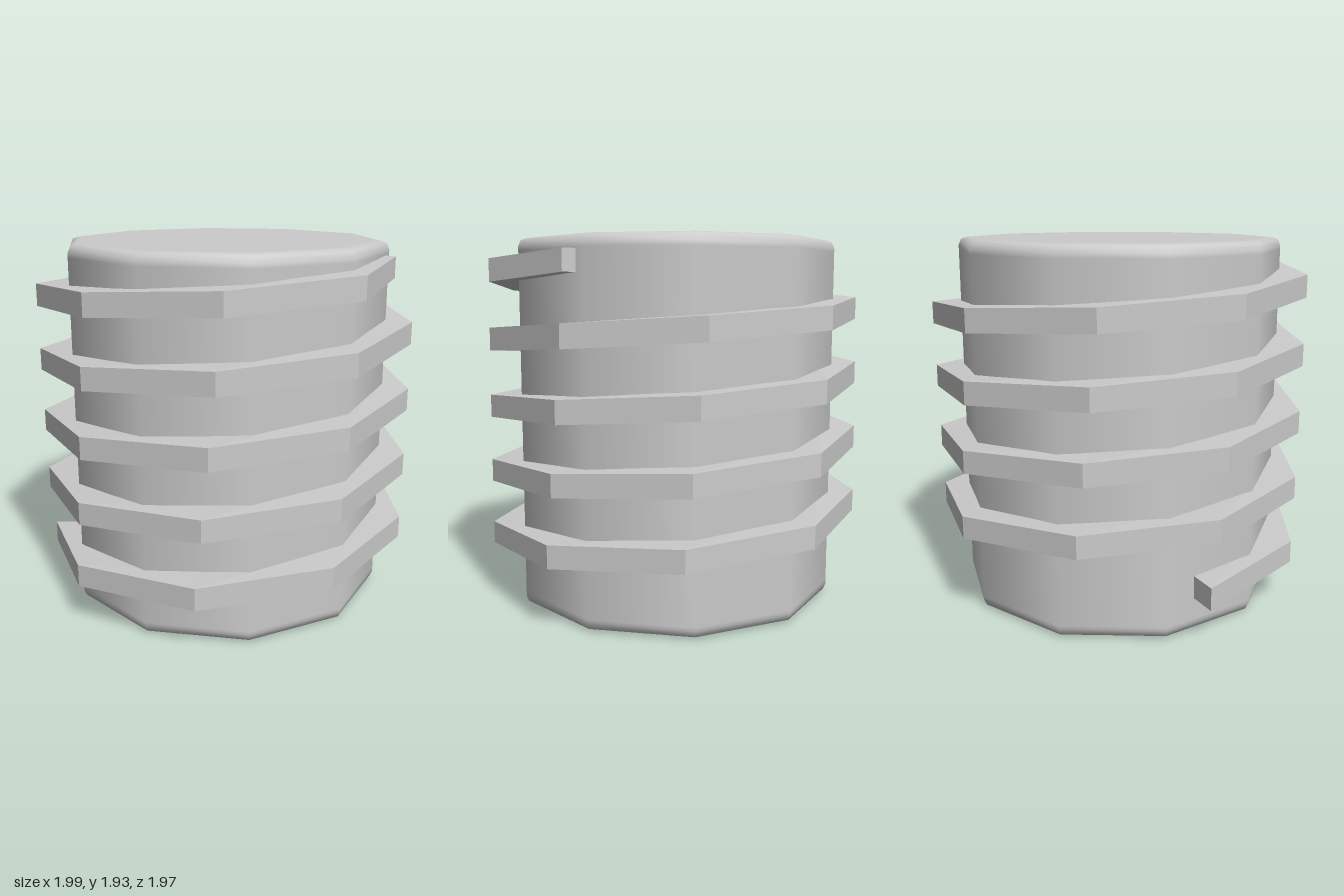
import * as THREE from 'three';

const rad = THREE.MathUtils.degToRad;
const material = new THREE.MeshStandardMaterial({ color: 0xcccccc });
const flatMaterial = new THREE.MeshStandardMaterial({ color: 0xcccccc, flatShading: true });

// Ten-sided barrel with rounded rims
function createCore() {
  const R = 0.867, H = 1.93, b = 0.045;
  const lower = [[0, 0], [R - b - 0.02, 0], [R - b, 0.002], [R - b * 0.3, b * 0.3], [R, b], [R, b + 0.02]];
  const upper = lower.map(([r, y]) => [r, H - y]).reverse();
  const profile = [...lower, ...upper].map(([r, y]) => new THREE.Vector2(r, y));
  const core = new THREE.Mesh(new THREE.LatheGeometry(profile, 10, rad(10.7)), material);
  core.name = 'core';
  return core;
}

// Rectangular ridge climbing round the core in straight segments, about nine to a turn
function createThread() {
  const steps = 40, stepAngle = 40.22, startAngle = 176.3, rise = 0.0392, thickness = 0.118;
  const corner = (r, degrees, y) =>
    new THREE.Vector3(r * Math.cos(rad(degrees)), y, r * Math.sin(rad(degrees)));

  const sections = [];
  for (let i = 0; i <= steps; i++) {
    const last = i === steps;
    const a = startAngle - i * stepAngle;
    const y = 0.18 + i * rise;
    // the ridge runs out into the core at its upper end
    const outer = last ? 0.905 : i === 0 ? 0.987 : 1.005;
    const inner = last ? 0.84 : 0.81;
    const outerAngle = last ? 13.2 : a;
    const innerAngle = last ? 10 : a;
    const top = y + (last ? 0.11 : thickness);
    sections.push([
      corner(outer, outerAngle, y), corner(outer, outerAngle, top),
      corner(inner, innerAngle, top), corner(inner, innerAngle, y),
    ]);
  }

  const points = [];
  const quad = (a, b, c, d) => points.push(a, b, c, a, c, d);
  for (let i = 0; i < steps; i++) {
    const s = sections[i], n = sections[i + 1];
    for (let j = 0; j < 4; j++) {
      const k = (j + 1) % 4;
      quad(s[j], n[j], n[k], s[k]);
    }
  }
  quad(...sections[0]);
  quad(...[...sections[steps]].reverse());

  const geometry = new THREE.BufferGeometry().setFromPoints(points);
  geometry.computeVertexNormals();
  const thread = new THREE.Mesh(geometry, flatMaterial);
  thread.name = 'thread';
  return thread;
}

export function createModel() {
  const model = new THREE.Group();
  model.name = 'threadedPlug';
  model.add(createCore(), createThread());
  // the axis sits slightly behind the middle
  model.children.forEach((part) => { part.position.z = -0.02; });
  return model;
}
